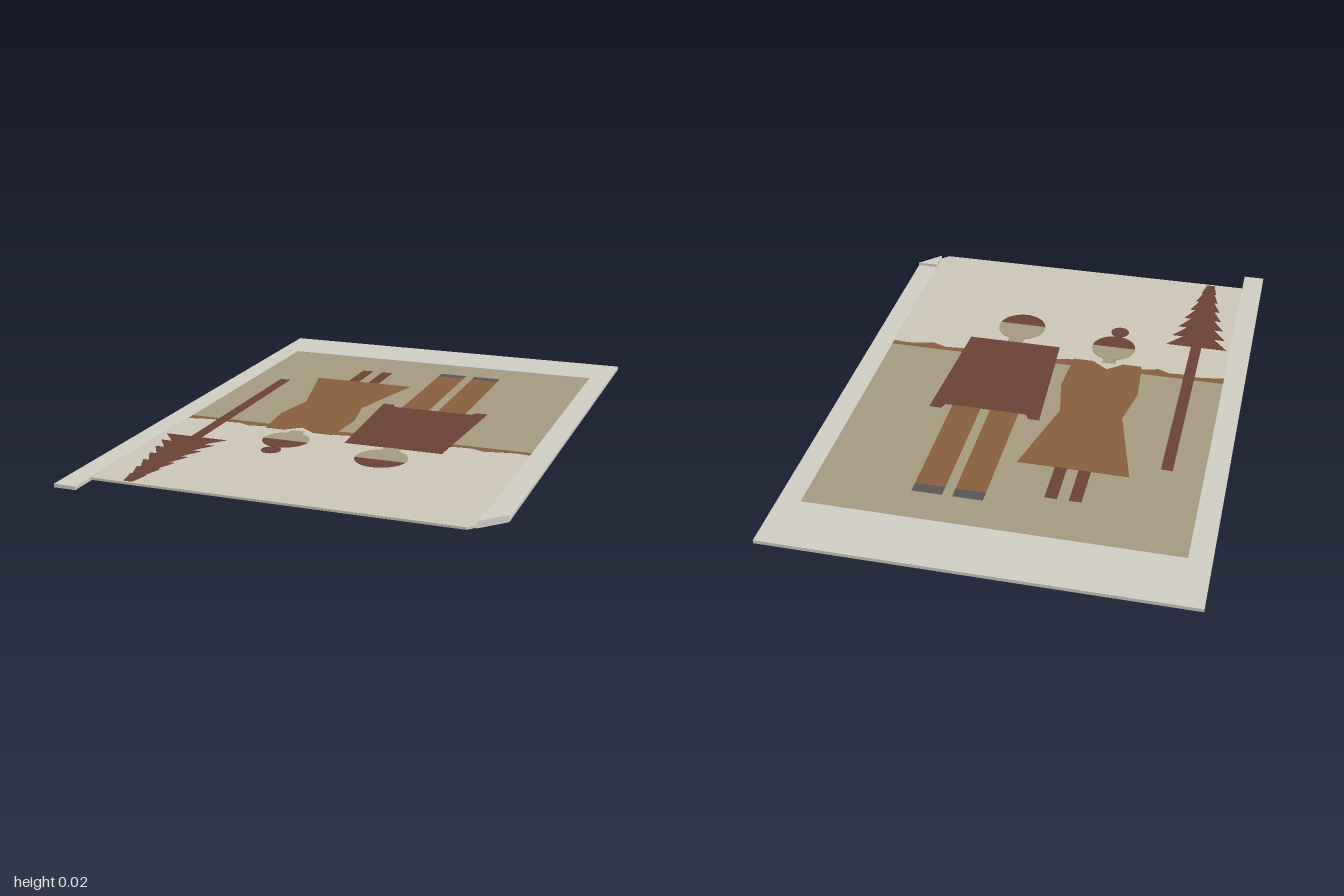
import * as THREE from 'three';

const THICK = 0.012, STEP = 0.0005;
const PAPER = 0xcfccc4, SKY = 0xccc6b8, GROUND = 0xa49a80, TAN = 0x86603e, DARK = 0x6b4235, SHOE = 0x575654;

export function createModel() {
  const group = new THREE.Group();
  const mats = {};
  const mat = (color) => (mats[color] ??= new THREE.MeshStandardMaterial({ color, flatShading: true }));

  // Flat slab cut from an outline of [x, z] points, lying between y0 and y1
  function slab(name, color, points, y0, y1) {
    const shape = new THREE.Shape(points.map(([x, z]) => new THREE.Vector2(x, -z)));
    const geo = new THREE.ExtrudeGeometry(shape, { depth: y1 - y0, bevelEnabled: false });
    geo.rotateX(-Math.PI / 2).translate(0, y0, 0);
    const mesh = new THREE.Mesh(geo, mat(color));
    mesh.name = name;
    group.add(mesh);
  }
  // Inlay running through the whole sheet; higher levels stand a hair prouder on both faces
  const inlay = (name, color, level, points) =>
    slab(name, color, points, (4 - level) * STEP, THICK - (4 - level) * STEP);
  const rect = (x0, x1, z0, z1) => [[x0, z0], [x1, z0], [x1, z1], [x0, z1]];
  // Disc, or the part of it between two angles (angle 0 = +x, 90 degrees = +z)
  const disc = (cx, cz, r, a0 = 0, a1 = Math.PI * 2, n = 40) =>
    Array.from({ length: n }, (_, i) => {
      const a = a0 + (a1 - a0) * i / (a1 - a0 < 6 ? n - 1 : n);
      return [cx + r * Math.cos(a), cz + r * Math.sin(a)];
    });

  // Paper border, with one torn end and one clipped corner
  slab('paperBorder', PAPER, [
    [-0.712, -1], [0.712, -1], [0.712, 0.8], [0.635, 0.88], [0.635, -0.785],
    [-0.635, -0.785], [-0.635, 1], [-0.712, 1],
  ], 0, THICK);

  // Corner folded back on top of the sheet
  slab('foldedCorner', PAPER, [[0.635, 0.8], [0.712, 0.8], [0.635, 0.88]], THICK - 0.001, 0.023);

  // Picture ground and sky
  inlay('pictureGround', GROUND, 0, rect(-0.635, 0.635, -0.785, 0.2));
  inlay('pictureSky', SKY, 0, [
    [-0.635, 0.2], [0.635, 0.2], [0.635, 0.88], [0.61, 0.905], [-0.635, 0.905],
  ]);

  // Distant hills with a ragged skyline
  const ridge = [
    [0.635, 0.22], [0.58, 0.215], [0.52, 0.225], [0.48, 0.235], [0.43, 0.215], [0.37, 0.22], [0.2, 0.24],
    [0, 0.225], [-0.06, 0.235], [-0.2, 0.197], [-0.34, 0.225], [-0.39, 0.24], [-0.43, 0.22], [-0.5, 0.225],
    [-0.54, 0.215], [-0.59, 0.222], [-0.635, 0.232],
  ];
  inlay('hills', TAN, 1, [[-0.635, 0.195], [0.635, 0.195], ...ridge]);

  // Pine tree: long trunk and tapering tiers
  const treeX = -0.507;
  inlay('treeTrunk', DARK, 2, rect(treeX - 0.02, treeX + 0.02, -0.36, 0.42));
  for (let i = 0; i < 7; i++) {
    const z = 0.42 + i * 0.068, w = 0.115 - i * 0.0143, tip = w * 0.52;
    inlay('treeTier', DARK, 2, [
      [treeX - w, z], [treeX + w, z], [treeX + tip, z + 0.068], [treeX - tip, z + 0.068],
    ]);
  }

  // Woman: legs, dress, neck, head, hair and bun
  for (const x of [-0.239, -0.157]) inlay('womanLeg', DARK, 2, rect(x - 0.021, x + 0.021, -0.59, -0.42));
  inlay('womanDress', TAN, 3, [
    [-0.39, -0.425], [-0.005, -0.425], [-0.085, -0.1], [-0.055, 0.06], [-0.067, 0.24], [-0.14, 0.24],
    [-0.2, 0.195], [-0.255, 0.24], [-0.325, 0.24], [-0.34, 0.06], [-0.31, -0.1],
  ]);
  inlay('womanNeck', GROUND, 2, rect(-0.225, -0.175, 0.24, 0.28));
  inlay('womanHead', GROUND, 3, disc(-0.2, 0.345, 0.082));
  inlay('womanHair', DARK, 4, disc(-0.2, 0.345, 0.082, 0.08, Math.PI - 0.08));
  inlay('womanBun', DARK, 3, disc(-0.205, 0.461, 0.034));

  // Man: trousers, shoes, coat, neck, head and hair
  for (const x of [0.108, 0.247]) {
    inlay('manTrouserLeg', TAN, 2, rect(x - 0.052, x + 0.052, -0.61, -0.14));
    inlay('manShoe', SHOE, 2, rect(x - 0.052, x + 0.052, -0.65, -0.61));
  }
  inlay('manCoat', DARK, 3, [
    [-0.025, -0.175], [0.015, -0.175], [0.028, -0.15], [0.325, -0.15], [0.335, -0.175], [0.378, -0.175],
    [0.352, 0.305], [0.002, 0.305],
  ]);
  inlay('manNeck', GROUND, 2, rect(0.148, 0.208, 0.3, 0.345));
  inlay('manHead', GROUND, 3, disc(0.176, 0.418, 0.09));
  inlay('manHair', DARK, 4, disc(0.176, 0.418, 0.09, 0.2, Math.PI - 0.2));

  return group;
}
